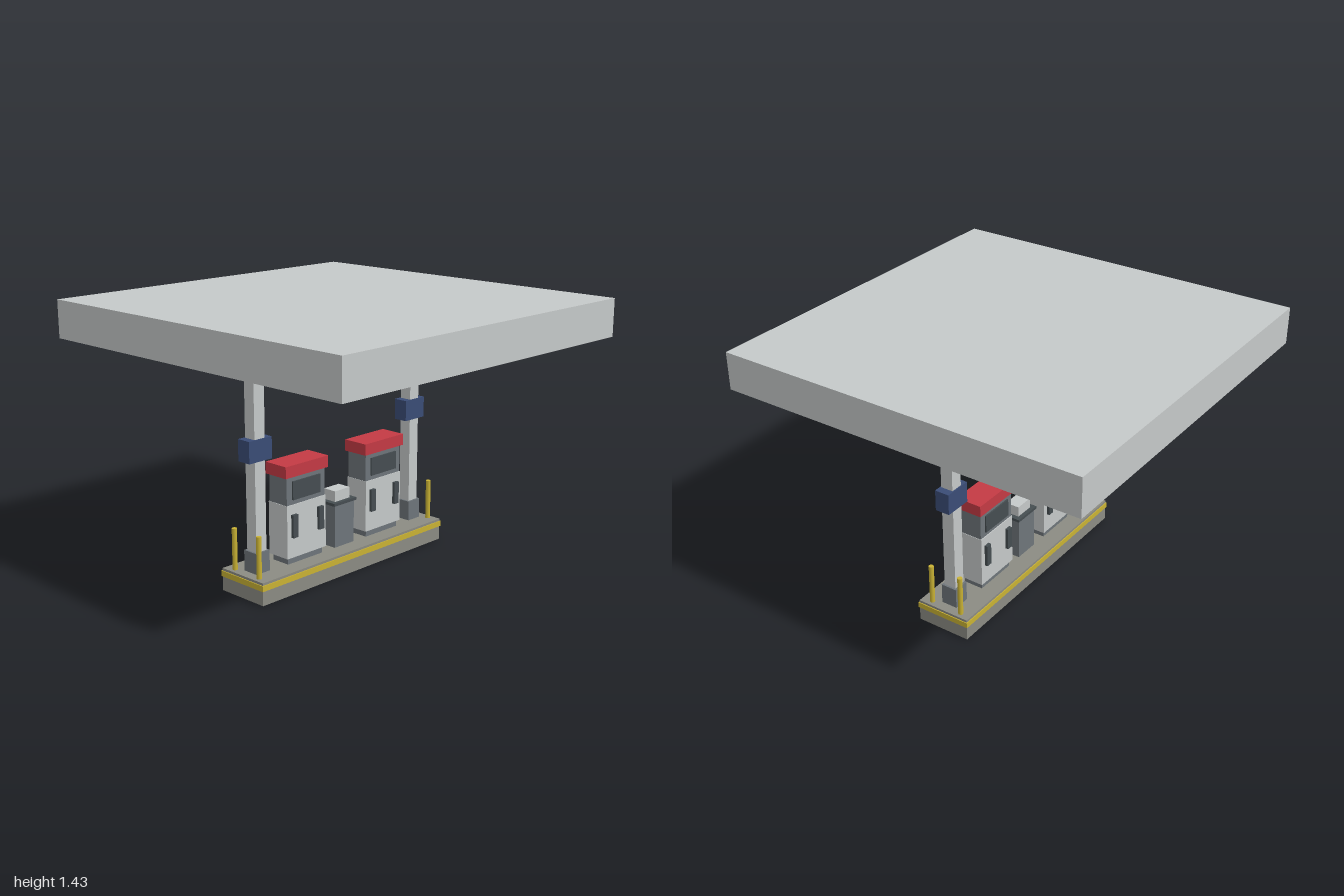
import * as THREE from 'three';

const paint = (name, color, side = THREE.FrontSide) => {
  const m = new THREE.MeshStandardMaterial({ color, side });
  m.name = name;
  return m;
};

export function createModel() {
  const white = paint('light grey', 0xc5c9c9);
  const grey = paint('slate grey', 0x6e757a);
  const dark = paint('dark grey', 0x454d51);
  const red = paint('red', 0xc43a44);
  const blue = paint('navy blue', 0x3a4c76);
  const yellow = paint('yellow', 0xc9b234);
  const concrete = paint('concrete', 0x8b8b83, THREE.DoubleSide);

  const model = new THREE.Group();
  model.name = 'fuelStation';

  const add = (parent, name, geometry, material, x, y, z) => {
    const mesh = new THREE.Mesh(geometry, material);
    mesh.name = name;
    mesh.position.set(x, y, z);
    parent.add(mesh);
    return mesh;
  };
  // Box given by its width, depth and vertical range
  const box = (parent, name, material, w, d, y0, y1, x = 0, z = 0) =>
    add(parent, name, new THREE.BoxGeometry(w, y1 - y0, d), material, x, (y0 + y1) / 2, z);
  const group = (name, x) => {
    const g = new THREE.Group();
    g.name = name;
    g.position.x = x;
    model.add(g);
    return g;
  };

  // Canopy
  box(model, 'canopy', white, 2, 2, 1.23, 1.43);

  // Island: a hollow kerb, open underneath
  const island = box(model, 'island', concrete, 1.35, 0.3, 0, 0.12);
  const index = Array.from(island.geometry.index.array);
  index.splice(18, 6); // drop the bottom face
  island.geometry.setIndex(index);
  island.geometry.clearGroups();

  // Painted band around the kerb
  for (const s of [-1, 1]) {
    box(model, 'kerbStripeLong', yellow, 1.36, 0.005, 0.077, 0.107, 0, s * 0.1525);
    box(model, 'kerbStripeShort', yellow, 0.005, 0.3, 0.077, 0.107, s * 0.6775, 0);
  }

  for (const s of [-1, 1]) {
    // Column with foot and sign
    const column = group(s > 0 ? 'leftColumn' : 'rightColumn', s * 0.575);
    box(column, 'post', white, 0.068, 0.068, 0.12, 1.23);
    box(column, 'foot', grey, 0.09, 0.09, 0.12, 0.23);
    box(column, 'sign', blue, 0.15, 0.08, 0.7, 0.813);

    // Guard posts at the island corners
    for (const t of [-1, 1]) {
      add(model, 'guardPost', new THREE.CylinderGeometry(0.0135, 0.0135, 0.22, 12),
        yellow, s * 0.643, 0.23, t * 0.09);
    }

    // Fuel pump, the same on front and back
    const pump = group(s > 0 ? 'leftPump' : 'rightPump', s * 0.29);
    box(pump, 'plinth', grey, 0.245, 0.11, 0.12, 0.155);
    box(pump, 'body', white, 0.275, 0.135, 0.155, 0.437);
    box(pump, 'head', grey, 0.27, 0.126, 0.437, 0.585);
    box(pump, 'cap', red, 0.3, 0.148, 0.585, 0.647);
    for (const t of [-1, 1]) {
      box(pump, 'screen', dark, 0.195, 0.009, 0.462, 0.56, 0, t * 0.0665);
      for (const u of [-1, 1]) {
        box(pump, 'nozzle', dark, 0.034, 0.018, 0.265, 0.387, u * 0.0925, t * 0.0755);
      }
    }
  }

  // Bin between the pumps, with a dispenser on top
  const bin = group('bin', 0);
  box(bin, 'binBody', grey, 0.145, 0.11, 0.12, 0.352);
  box(bin, 'binLid', dark, 0.167, 0.125, 0.352, 0.367);
  box(bin, 'dispenser', white, 0.11, 0.08, 0.367, 0.425);

  return model;
}
